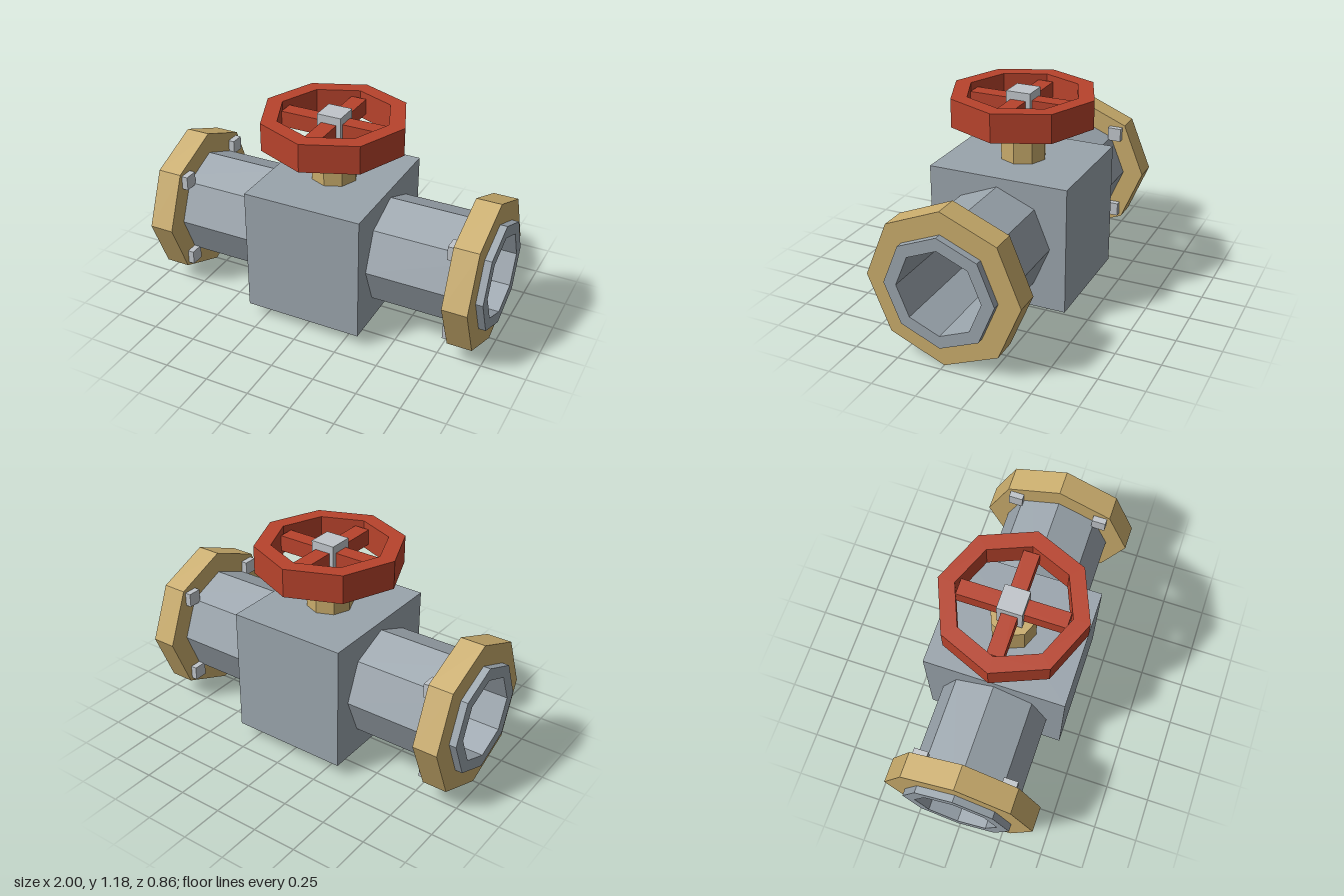
import * as THREE from 'three';

const paint = (name, color) => {
  const m = new THREE.MeshStandardMaterial({ color, flatShading: true });
  m.name = name;
  return m;
};

// Eight-sided ring around y with a rectangular section
function ringGeometry(inner, outer, height) {
  const h = height / 2;
  const profile = [[inner, -h], [outer, -h], [outer, h], [inner, h], [inner, -h]];
  return new THREE.LatheGeometry(profile.map(([r, y]) => new THREE.Vector2(r, y)), 8);
}

export function createModel() {
  const steel = paint('steel grey', 0x9aa4ac);
  const brass = paint('brass', 0xc9ac6c);
  const red = paint('wheel red', 0xb8432c);
  const silver = paint('light silver', 0xc0c5ca);

  const model = new THREE.Group();
  model.name = 'valve';
  const add = (parent, name, geometry, material, x, y, z) => {
    const mesh = new THREE.Mesh(geometry, material);
    mesh.name = name;
    mesh.position.set(x, y, z);
    parent.add(mesh);
    return mesh;
  };
  const box = (x, y, z) => new THREE.BoxGeometry(x, y, z);
  const axisY = 0.43;

  // Valve body
  add(model, 'body', box(0.68, 0.72, 0.8), steel, 0, axisY, 0);

  // Hollow pipe, flange and four bolts on each side
  for (const side of [1, -1]) {
    const end = new THREE.Group();
    end.name = side > 0 ? 'leftPipeEnd' : 'rightPipeEnd';
    model.add(end);
    add(end, 'pipe', ringGeometry(0.237, 0.308, 0.67), steel, side * 0.665, axisY, 0).rotation.z = Math.PI / 2;
    add(end, 'flange', ringGeometry(0.3, 0.43, 0.14), brass, side * 0.89, axisY, 0).rotation.z = Math.PI / 2;
    for (const y of [-0.25, 0.25]) {
      for (const z of [-0.25, 0.25]) {
        add(end, 'bolt', box(0.08, 0.08, 0.08), silver, side * 0.825, axisY + y, z);
      }
    }
  }

  // Bonnet on top of the body
  add(model, 'bonnet', new THREE.CylinderGeometry(0.13, 0.13, 0.2, 8), brass, 0, 0.89, 0);

  // Hand wheel with rim, crossed spokes and square hub
  const wheel = new THREE.Group();
  wheel.name = 'handWheel';
  wheel.position.y = 1.09;
  model.add(wheel);
  add(wheel, 'rim', ringGeometry(0.318, 0.41, 0.16), red, 0, 0, 0);
  add(wheel, 'spokeAcross', box(0.6, 0.09, 0.09), red, 0, 0, 0);
  add(wheel, 'spokeAlong', box(0.09, 0.09, 0.6), red, 0, 0, 0);
  add(wheel, 'hub', box(0.14, 0.17, 0.14), silver, 0, 0.005, 0);

  return model;
}
